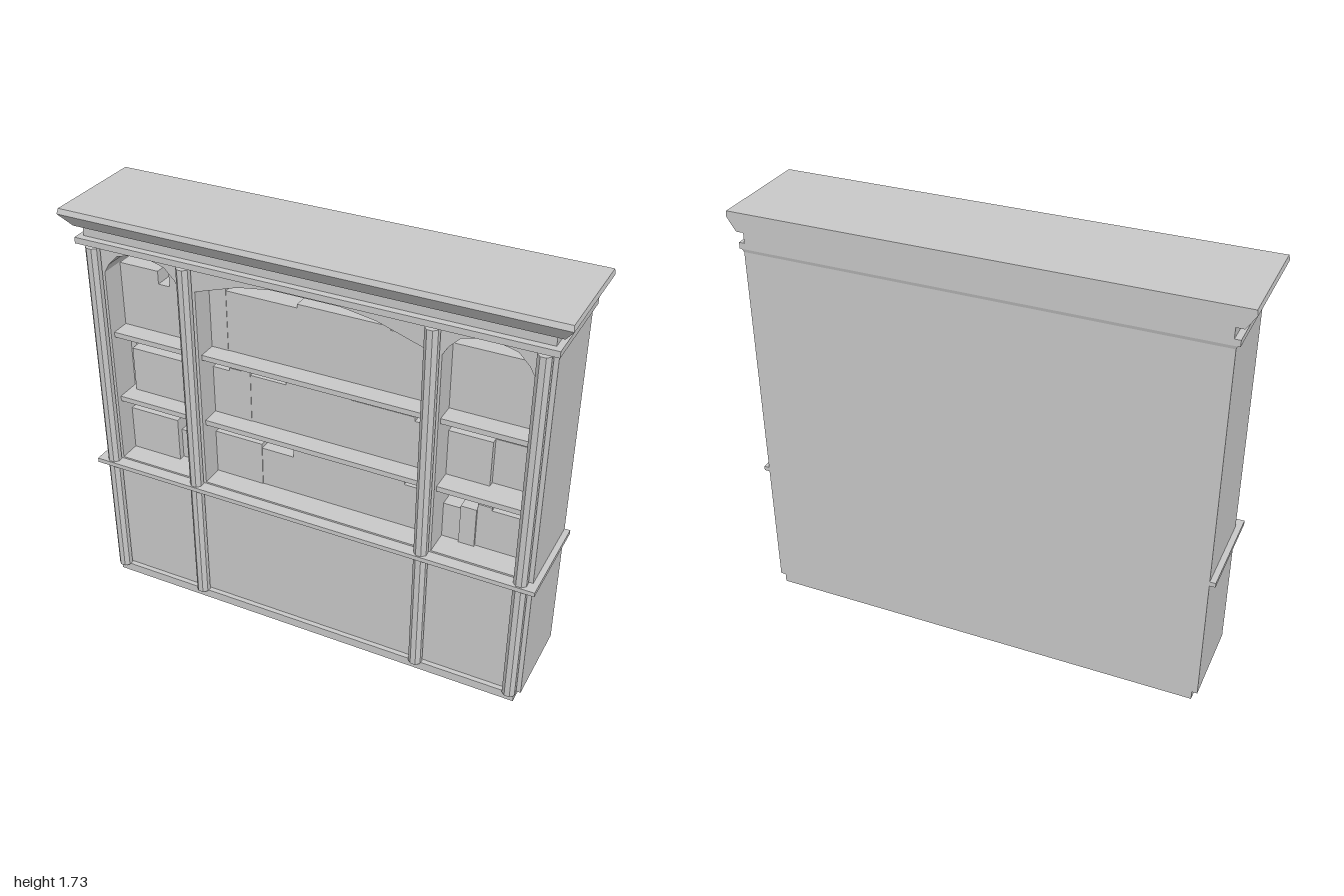
import * as THREE from 'three';

export function createModel() {
  const model = new THREE.Group();
  model.name = 'bookcase';
  const grey = new THREE.MeshStandardMaterial({ color: 0xc8c8c8 });
  grey.name = 'plain grey';

  const add = (geometry, name, parent = model) => {
    const mesh = new THREE.Mesh(geometry, grey);
    mesh.name = name;
    parent.add(mesh);
    return mesh;
  };
  // Box given by its limits on each axis
  const block = (name, x0, x1, y0, y1, z0, z1, parent) => {
    const mesh = add(new THREE.BoxGeometry(x1 - x0, y1 - y0, z1 - z0), name, parent);
    mesh.position.set((x0 + x1) / 2, (y0 + y1) / 2, (z0 + z1) / 2);
    return mesh;
  };
  // Sloped slab: bottom and top are [half width, back z, front z]
  const slopedSlab = (name, y0, y1, bottom, top) => {
    const geometry = new THREE.BoxGeometry(2, 2, 2).toNonIndexed();
    const p = geometry.attributes.position;
    for (let i = 0; i < p.count; i++) {
      const upper = p.getY(i) > 0;
      const [half, back, front] = upper ? top : bottom;
      p.setXYZ(i, p.getX(i) * half, upper ? y1 : y0, p.getZ(i) > 0 ? front : back);
    }
    geometry.computeVertexNormals();
    add(geometry, name);
  };

  const BACK = -0.222, WALL = -0.19, FRONT = 0.147;

  // Carcass with three arched bays
  const outline = new THREE.Shape();
  outline.moveTo(-0.94, 0.037).lineTo(0.94, 0.037).lineTo(0.94, 1.588).lineTo(-0.94, 1.588).closePath();
  const archHole = (cx, half, arch) => {
    // arch: [fraction of half width, height], from the side to the middle
    const right = arch.map(([f, y]) => new THREE.Vector2(cx + f * half, y));
    const left = arch.map(([f, y]) => new THREE.Vector2(cx - f * half, y)).reverse();
    outline.holes.push(new THREE.Path([
      new THREE.Vector2(cx - half, 0.603), new THREE.Vector2(cx + half, 0.603), ...right, ...left,
    ]));
  };
  const smallArch = [[1, 1.463], [0.87, 1.5], [0.62, 1.543], [0.15, 1.564]];
  const wideArch = [[1, 1.472], [0.6, 1.533], [0.3, 1.555]];
  archHole(-0.698, 0.168, smallArch);
  archHole(0, 0.463, wideArch);
  archHole(0.698, 0.168, smallArch);
  const carcass = add(new THREE.ExtrudeGeometry(outline, { depth: FRONT - WALL, bevelEnabled: false }), 'carcass');
  carcass.position.z = WALL;
  block('backPanel', -0.94, 0.94, 0.037, 1.588, BACK, WALL);

  // Hollow plinth: floor plate and thin skirting boards
  block('plinthTop', -0.918, 0.918, 0.033, 0.038, BACK, 0.168);
  for (const z of [BACK, 0.164]) block('plinthBoard', -0.918, 0.918, 0, 0.035, z, z + 0.004);
  for (const x of [-0.918, 0.914]) block('plinthBoard', x, x + 0.004, 0, 0.035, BACK, 0.168);

  // Counter ledge
  block('counterLedge', -0.963, 0.963, 0.577, 0.596, BACK, 0.197);

  // Shelves
  const bays = [[-0.868, -0.528], [-0.463, 0.463], [0.528, 0.868]];
  for (const [x0, x1] of bays) {
    for (const y of [0.868, 1.167]) block('shelf', x0, x1, y, y + 0.022, WALL, 0.125);
  }

  // Octagonal columns
  for (const x of [-0.898, -0.497, 0.497, 0.898]) {
    const geometry = new THREE.CylinderGeometry(0.0282, 0.0282, 1.535, 8, 1).toNonIndexed();
    geometry.rotateY(Math.PI / 8);
    geometry.computeVertexNormals();
    add(geometry, 'column').position.set(x, 0.8055, 0.165);
  }

  // Cornice: bevel, moulding, frieze, sloped crown and cap
  slopedSlab('bevel', 1.572, 1.588, [0.94, BACK, FRONT], [0.947, -0.227, 0.157]);
  block('moulding', -0.955, 0.955, 1.586, 1.611, -0.227, 0.195);
  block('frieze', -0.932, 0.932, 1.61, 1.656, -0.227, 0.167);
  slopedSlab('crown', 1.653, 1.709, [0.963, -0.227, 0.185], [1, -0.227, 0.227]);
  slopedSlab('crownCap', 1.709, 1.73, [1, -0.227, 0.227], [0.996, -0.227, 0.22]);

  // Rows of books: base height, then [left, right, top, front]
  const rows = [
    [0.6, [
      [-0.868, -0.643, 0.796, 0.057], [-0.643, -0.528, 0.737, 0.03],
      [-0.463, -0.25, 0.796, 0.053], [-0.25, -0.108, 0.776, 0.05],
      [-0.108, 0.37, 0.822, 0.05], [0.37, 0.463, 0.798, 0.05],
      [0.528, 0.603, 0.757, 0.04], [0.603, 0.667, 0.775, 0.05],
      [0.667, 0.724, 0.798, 0.04], [0.724, 0.868, 0.785, 0.04],
    ]],
    [0.889, [
      [-0.868, -0.84, 1.13, 0.02], [-0.84, -0.528, 1.085, 0.05],
      [-0.463, -0.388, 1.098, 0.047], [-0.388, -0.333, 1.111, 0.047],
      [-0.333, -0.296, 1.154, 0.047], [-0.296, -0.14, 1.101, 0.045],
      [-0.14, 0.14, 1.115, 0.045], [0.14, 0.4, 1.11, 0.045], [0.4, 0.463, 1.092, 0.045],
      [0.528, 0.705, 1.085, 0.035], [0.705, 0.868, 1.085, 0.01],
    ]],
    [1.188, [
      [-0.868, -0.693, 1.46, 0.045], [-0.693, -0.643, 1.405, 0.045], [-0.643, -0.528, 1.46, 0.045],
      [-0.463, -0.39, 1.46, 0.047], [-0.39, -0.087, 1.447, 0.045],
      [-0.087, 0.29, 1.463, 0.045], [0.29, 0.463, 1.448, 0.045],
      [0.528, 0.868, 1.459, 0.045],
    ]],
  ];
  for (const [base, books] of rows) {
    const row = new THREE.Group();
    row.name = 'bookRow';
    model.add(row);
    for (const [x0, x1, top, front] of books) block('books', x0, x1, base, top, WALL, front, row);
  }

  return model;
}
